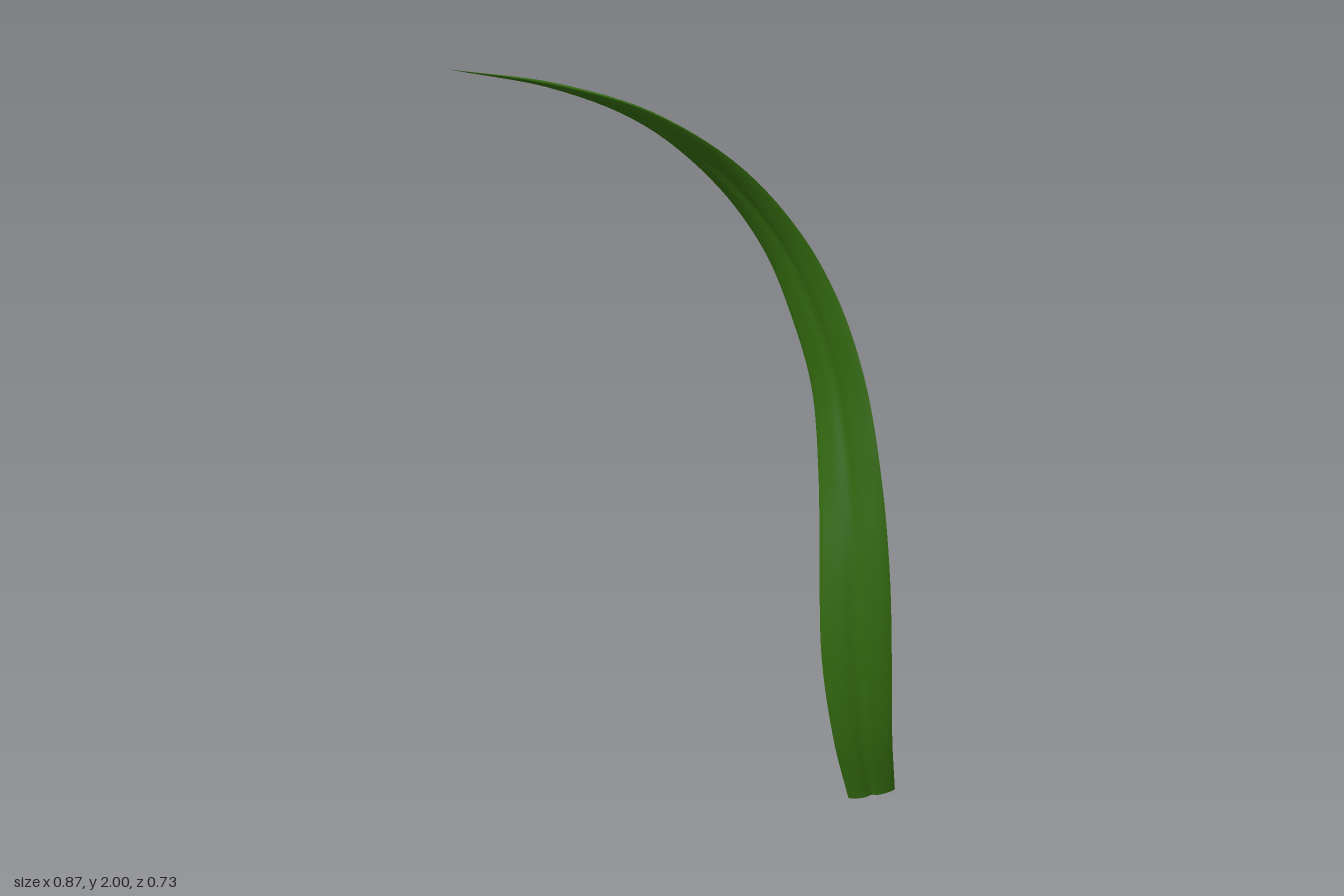
import * as THREE from 'three';
import { toCreasedNormals } from 'three/addons/utils/BufferGeometryUtils.js';

const curve = pts => new THREE.CatmullRomCurve3(pts.map(p => new THREE.Vector3(...p)));

// the two long edges of the blade, with matching stations from root to tip
const frontEdge = curve([
  [0.435, 0.04, 0.342], [0.385, 0.22, 0.358], [0.36, 0.45, 0.363], [0.35, 0.7, 0.353],
  [0.348, 0.95, 0.32], [0.346, 1.2, 0.263], [0.327, 1.4, 0.19], [0.277, 1.57, 0.105],
  [0.17, 1.735, 0], [0, 1.87, -0.13], [-0.2, 1.948, -0.25], [-0.435, 2, -0.362]]);
const backEdge = curve([
  [0.37, 0.005, 0.235], [0.31, 0.2, 0.222], [0.275, 0.45, 0.2], [0.287, 0.7, 0.178],
  [0.325, 0.93, 0.143], [0.362, 1.15, 0.09], [0.355, 1.33, 0.028], [0.318, 1.5, -0.035],
  [0.225, 1.67, -0.115], [0.06, 1.83, -0.205], [-0.16, 1.935, -0.29], [-0.435, 2, -0.362]]);

// half thickness across the blade: thin edges, two swellings and a groove along the middle
function halfThickness(v) {
  const groove = Math.exp(-(((v - 0.5) / 0.1) ** 2));
  return 0.012 * Math.sqrt(Math.max(0, Math.sin(Math.PI * v))) * (1 - 0.55 * groove);
}

function bladeGeometry(rows = 72, across = 20) {
  const ring = across * 2, pos = [], index = [];
  const mid = t => frontEdge.getPoint(t).add(backEdge.getPoint(t)).multiplyScalar(0.5);

  // closed cross-sections from root to tip
  for (let r = 0; r <= rows; r++) {
    const t = r / rows;
    const a = frontEdge.getPoint(t), b = backEdge.getPoint(t);
    const width = a.clone().sub(b);
    const along = mid(Math.min(1, t + 0.01)).sub(mid(Math.max(0, t - 0.01)));
    const normal = along.cross(width).normalize();
    const scale = Math.min(1, width.length() / 0.1);
    for (let i = 0; i < ring; i++) {
      const outer = i < across;
      const v = outer ? i / across : 2 - i / across;
      const p = b.clone().addScaledVector(width, v)
        .addScaledVector(normal, (outer ? 1 : -1) * scale * halfThickness(v));
      pos.push(p.x, p.y, p.z);
    }
  }
  for (let r = 0; r < rows; r++) {
    for (let i = 0; i < ring; i++) {
      const j = (i + 1) % ring;
      const a = r * ring + i, b = r * ring + j, c = b + ring, d = a + ring;
      index.push(a, d, c);
      if (r < rows - 1 || i !== j) index.push(a, c, b);
    }
  }

  // root cap
  const centre = pos.length / 3, m = mid(0);
  pos.push(m.x, m.y, m.z);
  for (let i = 0; i < ring; i++) index.push(centre, i, (i + 1) % ring);

  const geo = new THREE.BufferGeometry();
  geo.setAttribute('position', new THREE.Float32BufferAttribute(pos, 3));
  geo.setIndex(index);
  return toCreasedNormals(geo, 0.9);
}

export function createModel() {
  const group = new THREE.Group();
  group.name = 'grassBlade';
  const material = new THREE.MeshStandardMaterial({ color: 0x33690f, side: THREE.DoubleSide });
  const blade = new THREE.Mesh(bladeGeometry(), material);
  blade.name = 'blade';
  group.add(blade);
  return group;
}
